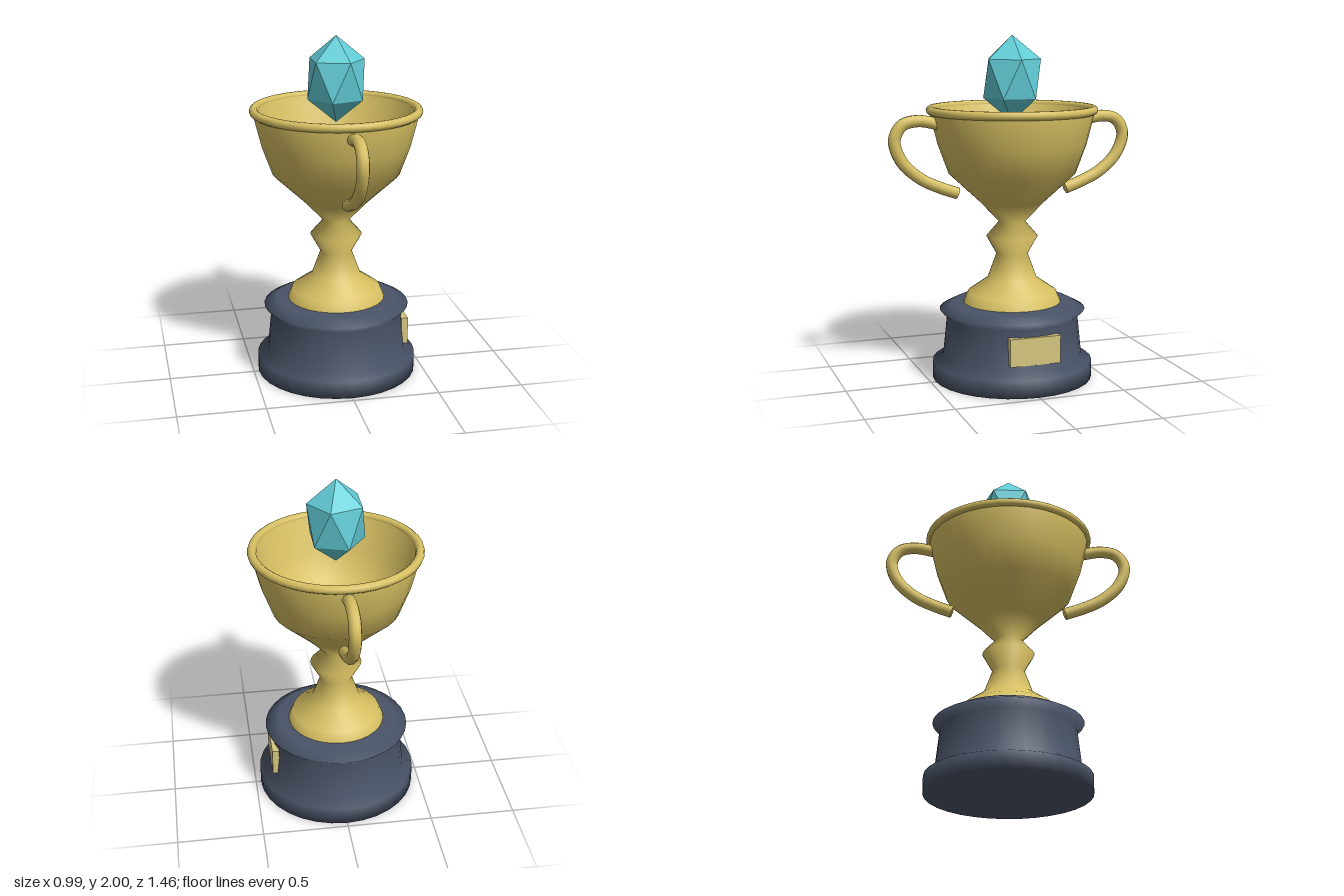
import * as THREE from 'three';
import { ConvexGeometry } from 'three/addons/geometries/ConvexGeometry.js';

const material = (name, color) => {
  const m = new THREE.MeshStandardMaterial({ color });
  m.name = name;
  return m;
};

export function createModel() {
  const gold = material('gold', 0xd6bf62);
  const slate = material('slate', 0x4a5468);
  const brass = material('pale brass', 0xd6c680);
  const aqua = material('aqua', 0x62ccd6);
  aqua.flatShading = true;

  const group = new THREE.Group();
  group.name = 'trophy';
  const add = (name, geometry, mat, parent = group) => {
    const mesh = new THREE.Mesh(geometry, mat);
    mesh.name = name;
    parent.add(mesh);
    return mesh;
  };
  const lathe = (points) =>
    new THREE.LatheGeometry(points.map(([r, y]) => new THREE.Vector2(r, y)), 32);

  // Stepped plinth
  add('plinth', lathe([
    [0, 0], [0.47, 0], [0.47, 0.1], [0.41, 0.13], [0.385, 0.37],
    [0.427, 0.41], [0.35, 0.45], [0, 0.45],
  ]), slate);

  // Plate on the side of the plinth
  add('plaque', new THREE.BoxGeometry(0.04, 0.16, 0.3), brass).position.set(0.385, 0.25, 0);

  // Foot, stem with knob, bowl outside, then bowl inside
  add('cup', lathe([
    [0.285, 0.45], [0.26, 0.51], [0.145, 0.59], [0.092, 0.735], [0.15, 0.84],
    [0.077, 0.925], [0.185, 1.04], [0.368, 1.21], [0.43, 1.38], [0.475, 1.56],
    [0.445, 1.575], [0.4, 1.37], [0.3, 1.23], [0.16, 1.14], [0, 1.1],
  ]), gold);

  // Rolled rim
  const rim = add('rim', new THREE.TorusGeometry(0.47, 0.025, 10, 40), gold);
  rim.rotation.x = Math.PI / 2;
  rim.position.y = 1.575;

  // Looped handles at front and back, with closed ends
  const path = new THREE.CatmullRomCurve3([
    [1.505, 0.44], [1.525, 0.56], [1.503, 0.65], [1.42, 0.695],
    [1.3, 0.655], [1.2, 0.55], [1.145, 0.44], [1.105, 0.33],
  ].map(([y, z]) => new THREE.Vector3(0, y, z)));
  const tube = new THREE.TubeGeometry(path, 40, 0.035, 10);
  const cap = new THREE.CircleGeometry(0.035, 10);
  for (const [name, turn] of [['frontHandle', 0], ['backHandle', Math.PI]]) {
    const handle = new THREE.Group();
    handle.name = name;
    handle.rotation.y = turn;
    add('handleTube', tube, gold, handle);
    for (const t of [0, 1]) {
      const end = add('handleEnd', cap, gold, handle);
      const outward = path.getTangentAt(t).multiplyScalar(t ? 1 : -1);
      end.position.copy(path.getPointAt(t));
      end.quaternion.setFromUnitVectors(new THREE.Vector3(0, 0, 1), outward);
    }
    group.add(handle);
  }

  // Faceted gem: two five-sided rings, half a step apart, between two tips
  const gem = [new THREE.Vector3(0, 2, 0), new THREE.Vector3(0, 1.505, 0)];
  for (let i = 0; i < 5; i++) {
    const a = (i * Math.PI * 2) / 5;
    const x = 0.165 * Math.cos(a), z = 0.165 * Math.sin(a);
    gem.push(new THREE.Vector3(x, 1.864, z), new THREE.Vector3(-x, 1.642, z));
  }
  add('gem', new ConvexGeometry(gem), aqua);

  return group;
}
